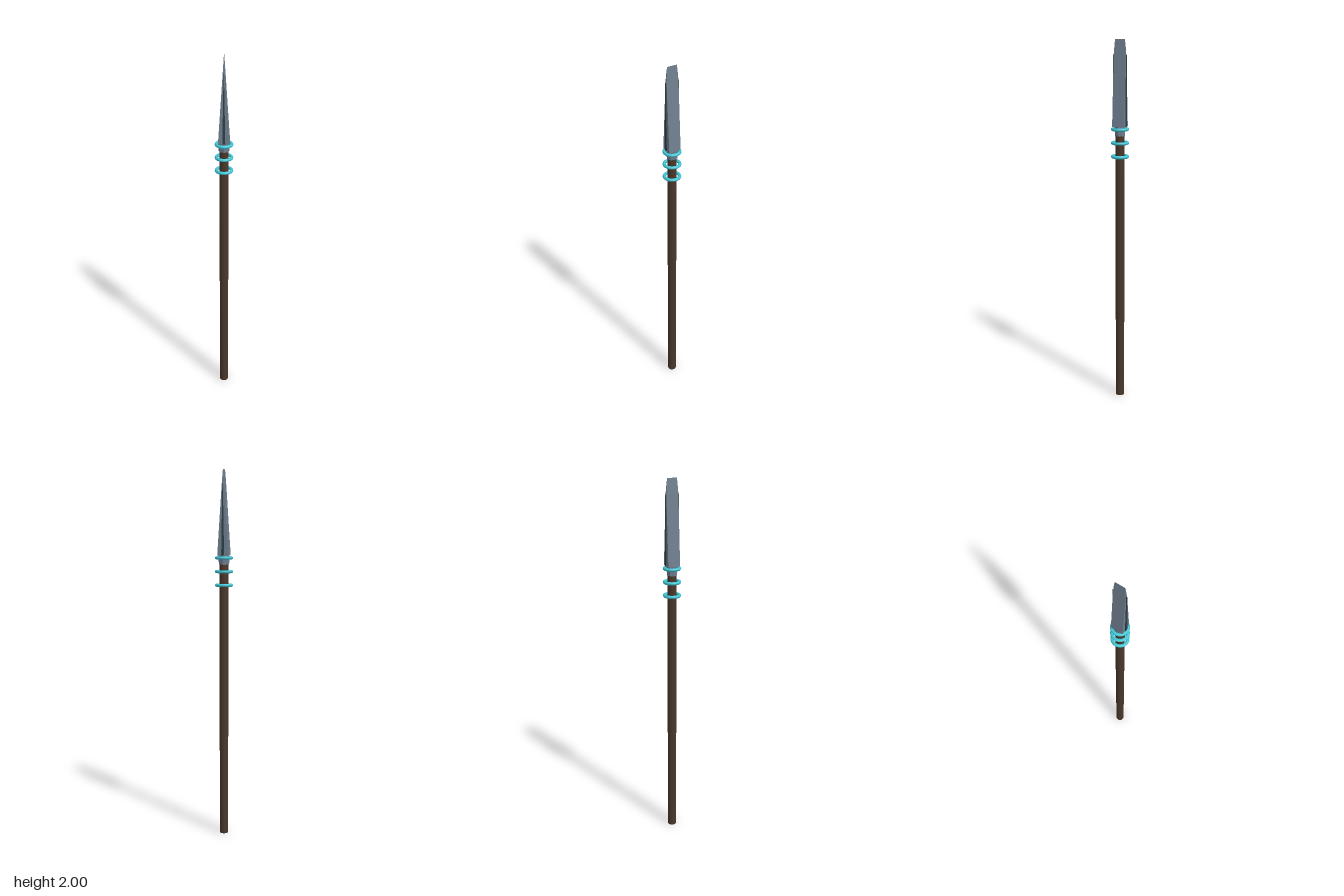
import * as THREE from 'three';

const mat = (color, flatShading = false) => new THREE.MeshStandardMaterial({ color, flatShading });

function add(group, name, geometry, material, y = 0) {
  const mesh = new THREE.Mesh(geometry, material);
  mesh.name = name;
  mesh.position.y = y;
  group.add(mesh);
  return mesh;
}

// Wedge: triangle seen from the front, given thickness along z
function wedge(halfWidth, height, depth) {
  const shape = new THREE.Shape();
  shape.moveTo(-halfWidth, 0);
  shape.lineTo(halfWidth, 0);
  shape.lineTo(0.001, height);
  shape.lineTo(-0.001, height);
  shape.closePath();
  const g = new THREE.ExtrudeGeometry(shape, { depth, bevelEnabled: false });
  g.translate(0, 0, -depth / 2);
  return g;
}

// Blade built from rectangular sections [y, half width, half depth]
function bladeGeometry() {
  const sections = [[1.55, 0.03, 0.033], [1.92, 0.0055, 0.033], [1.98, 0.0016, 0.029], [2.0, 0.0004, 0.026]];
  const pos = [], idx = [];
  for (const [y, w, d] of sections) pos.push(-w, y, d, w, y, d, w, y, -d, -w, y, -d);
  for (let s = 0; s < sections.length - 1; s++) {
    for (let k = 0; k < 4; k++) {
      const a = s * 4 + k, b = s * 4 + (k + 1) % 4;
      idx.push(a, b, b + 4, a, b + 4, a + 4);
    }
  }
  const t = (sections.length - 1) * 4;
  idx.push(0, 2, 1, 0, 3, 2, t, t + 1, t + 2, t, t + 2, t + 3);
  const g = new THREE.BufferGeometry();
  g.setAttribute('position', new THREE.Float32BufferAttribute(pos, 3));
  g.setIndex(idx);
  const flat = g.toNonIndexed();
  flat.computeVertexNormals();
  return flat;
}

export function createModel() {
  const spear = new THREE.Group();
  spear.name = 'spear';
  const wood = mat(0x4a382c);
  const steel = mat(0x708090, true);
  const dark = mat(0x2c4148, true);
  const teal = mat(0x40c8d8);

  // Wooden shaft
  add(spear, 'shaft', new THREE.CylinderGeometry(0.024, 0.024, 1.5, 16), wood, 0.75);

  // Socket between shaft and blade
  add(spear, 'socket', new THREE.CylinderGeometry(0.031, 0.028, 0.05, 8), steel, 1.525);

  // Blade with a dark raised strip along its front and back
  add(spear, 'blade', bladeGeometry(), steel);
  add(spear, 'bladeStrips', wedge(0.0075, 0.37, 0.075), dark, 1.55);

  // Bright binding rings
  for (const y of [1.39, 1.463, 1.536]) {
    const ring = add(spear, 'bindingRing', new THREE.TorusGeometry(0.04, 0.0085, 10, 32), teal, y);
    ring.rotation.x = Math.PI / 2;
  }
  return spear;
}
